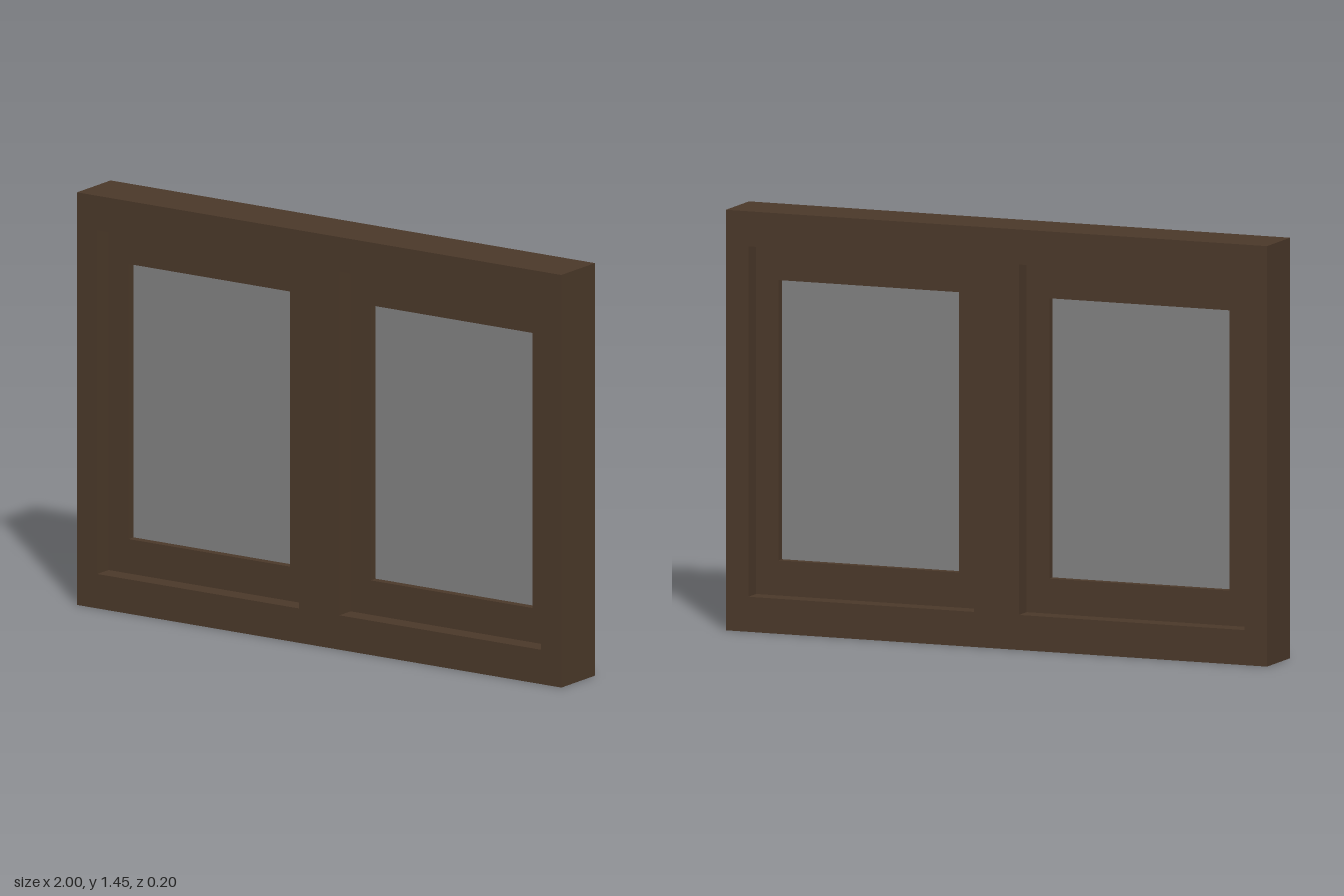
import * as THREE from 'three';

const HEIGHT = 1.445;
const RAIL_X = 1 / 12; // width of upright members
const RAIL_Y = HEIGHT / 12; // height of horizontal members

const wood = new THREE.MeshStandardMaterial({ color: 0x4a3829 });
wood.name = 'dark brown wood';
const pane = new THREE.MeshStandardMaterial({ color: 0x808080 });
pane.name = 'grey glass';

// Adds a rectangle, given by its centre and size, to a shape or path
function rect(target, cx, cy, w, h) {
  const x = w / 2, y = h / 2;
  target.moveTo(cx - x, cy - y);
  target.lineTo(cx + x, cy - y);
  target.lineTo(cx + x, cy + y);
  target.lineTo(cx - x, cy + y);
  target.closePath();
  return target;
}

// Rectangular frame with openings, extruded evenly about z = 0
function frameMesh(name, w, h, depth, openings) {
  const shape = rect(new THREE.Shape(), 0, 0, w, h);
  for (const [cx, ow, oh] of openings) shape.holes.push(rect(new THREE.Path(), cx, 0, ow, oh));
  const geometry = new THREE.ExtrudeGeometry(shape, { depth, bevelEnabled: false });
  geometry.translate(0, 0, -depth / 2);
  const mesh = new THREE.Mesh(geometry, wood);
  mesh.name = name;
  return mesh;
}

export function createModel() {
  const model = new THREE.Group();
  model.name = 'doubleWindow';

  const openW = 1 - 2 * RAIL_X, openH = HEIGHT - 2 * RAIL_Y;
  const glassW = openW - 2 * RAIL_X, glassH = openH - 2 * RAIL_Y;

  // Outer frame with a central mullion
  const outer = frameMesh('outerFrame', 2, HEIGHT, 0.2, [-0.5, 0.5].map((x) => [x, openW, openH]));
  outer.position.y = HEIGHT / 2;
  model.add(outer);

  // A recessed sash and its glass in each opening
  for (const [side, x] of [['left', 0.5], ['right', -0.5]]) {
    const sash = new THREE.Group();
    sash.name = side + 'Sash';
    sash.position.set(x, HEIGHT / 2, 0);
    const glass = new THREE.Mesh(new THREE.BoxGeometry(glassW, glassH, 0.008), pane);
    glass.name = side + 'Glass';
    sash.add(frameMesh(side + 'SashFrame', openW, openH, 0.066, [[0, glassW, glassH]]), glass);
    model.add(sash);
  }
  return model;
}
